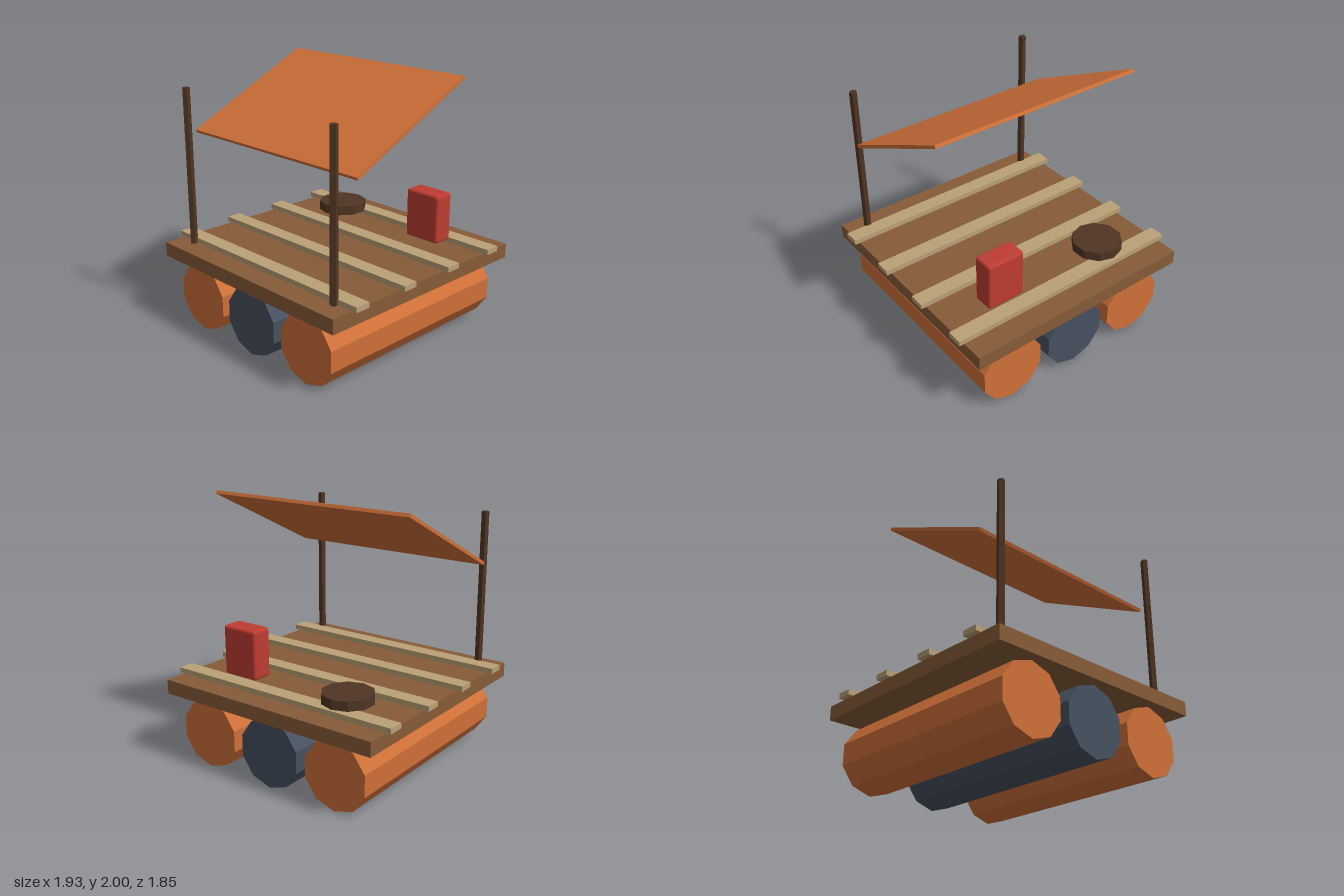
import * as THREE from 'three';
import { RoundedBoxGeometry } from 'three/addons/geometries/RoundedBoxGeometry.js';

const paint = (name, color) => {
  const m = new THREE.MeshStandardMaterial({ color, flatShading: true });
  m.name = name;
  return m;
};

export function createModel() {
  const orange = paint('orange', 0xcf7038);
  const slate = paint('slate blue', 0x465060);
  const wood = paint('deck wood', 0x875c38);
  const paleWood = paint('pale wood', 0xbaa076);
  const darkWood = paint('dark brown', 0x503523);
  const red = paint('red', 0xbe3c31);

  const raft = new THREE.Group();
  raft.name = 'raft';
  const add = (name, geometry, material, x, y, z) => {
    const mesh = new THREE.Mesh(geometry, material);
    mesh.name = name;
    mesh.position.set(x, y, z);
    raft.add(mesh);
    return mesh;
  };

  // Three floating barrels lying along z
  const barrel = new THREE.CylinderGeometry(0.263, 0.263, 1.7, 10).rotateX(Math.PI / 2);
  add('rightBarrel', barrel, orange, -0.58, 0.266, 0);
  add('middleBarrel', barrel, slate, 0, 0.266, 0);
  add('leftBarrel', barrel, orange, 0.58, 0.266, 0);

  // Deck and cross slats
  add('deck', new THREE.BoxGeometry(1.85, 0.11, 1.85), wood, 0, 0.585, 0);
  const slat = new THREE.BoxGeometry(1.93, 0.04, 0.12);
  for (let i = 0; i < 4; i++) {
    add('slat', slat, paleWood, 0, 0.66, -0.695 + i * 0.4633);
  }

  // Front posts
  const post = new THREE.CylinderGeometry(0.03, 0.03, 1.21, 5);
  for (const side of [-1, 1]) add('post', post, darkWood, side * 0.772, 1.245, 0.77);

  // Tilted awning, higher at the back
  const awning = add('awning', new THREE.BoxGeometry(1.7, 0.025, 1.158), orange, 0, 1.737, 0.118);
  awning.rotation.x = 0.45;

  // Cargo on deck
  add('hatch', new THREE.CylinderGeometry(0.193, 0.193, 0.073, 10), darkWood, -0.467, 0.715, -0.54);
  add('fuelCan', new RoundedBoxGeometry(0.305, 0.38, 0.165, 2, 0.022), red, 0.462, 0.862, -0.542);

  return raft;
}
